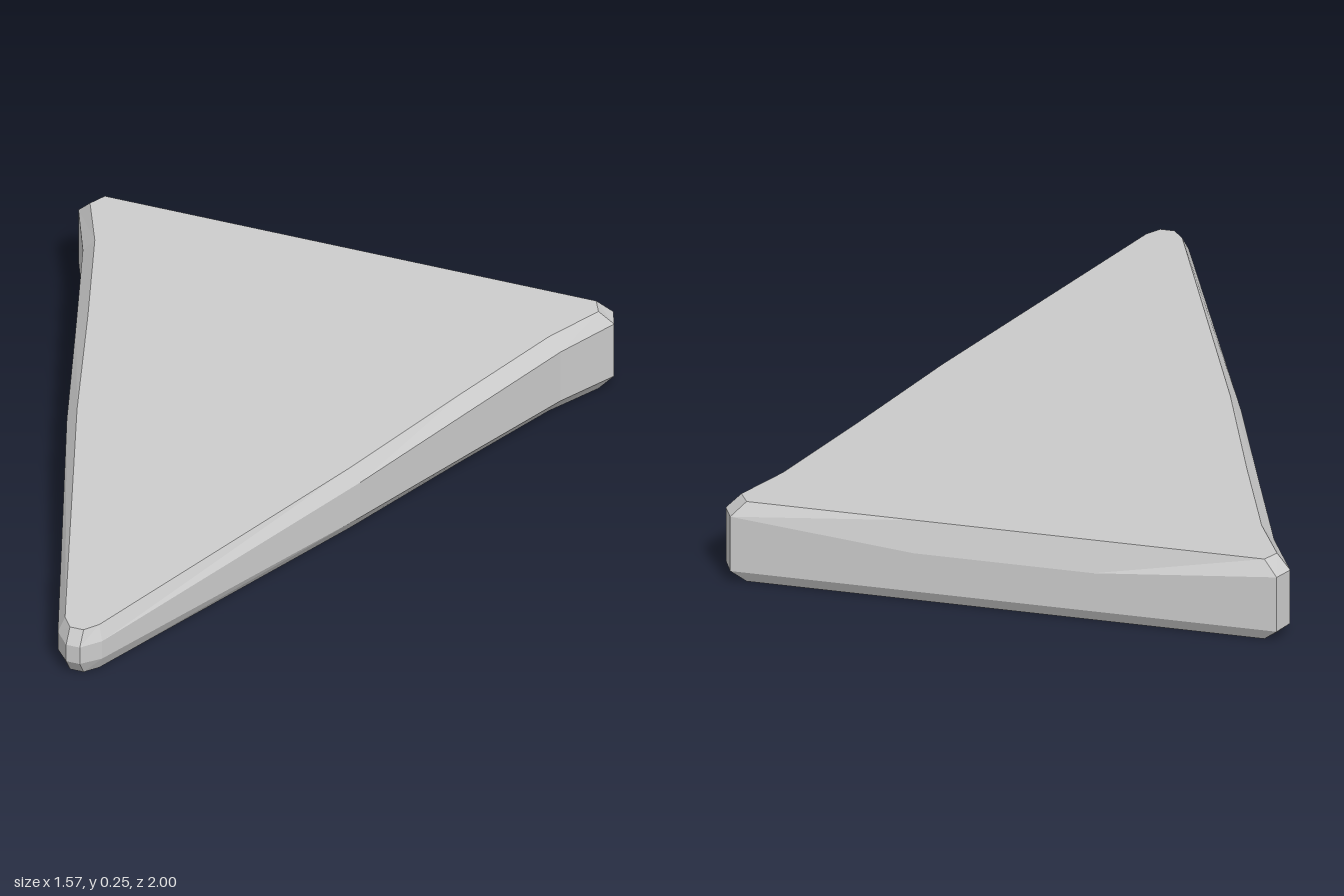
import * as THREE from 'three';

// Half outlines [x, z] from the front tip along the left side to the back
const OUTER = [[0.02, 1], [0.065, 0.95], [0.43, 0], [0.58, -0.43], [0.7, -0.77], [0.785, -0.945], [0.76, -1], [0.25, -1]];
const INNER = [[0.02, 0.973], [0.05, 0.935], [0.4, 0], [0.545, -0.43], [0.665, -0.77], [0.745, -0.93], [0.72, -0.975], [0.25, -0.975]];

// The top plane rises towards the back
const topY = (z) => 0.19 - 0.058 * z;

// Closed loop of points, mirrored across x = 0
function ring(half, height) {
  const right = half.map(([x, z]) => [-x, z]).reverse();
  return [...half, ...right].map(([x, z]) => new THREE.Vector3(x, height(x, z), z));
}

export function createModel() {
  // The upper rim dips along the middle of the back edge
  const rimY = (x, z) => topY(z) - 0.04 - (z === -1 && Math.abs(x) < 0.3 ? 0.05 : 0);
  const rings = [
    ring(INNER, () => 0),
    ring(OUTER, () => 0.04),
    ring(OUTER, rimY),
    ring(INNER, (x, z) => topY(z)),
  ];

  const positions = [];
  const tri = (...points) => points.forEach((p) => positions.push(p.x, p.y, p.z));
  const n = rings[0].length;
  const bottomCentre = new THREE.Vector3(0, 0, -0.3);
  const topCentre = new THREE.Vector3(0, topY(-0.3), -0.3);

  for (let i = 0; i < n; i++) {
    const j = (i + 1) % n;
    // Lower chamfer, wall and upper chamfer
    for (let k = 0; k < 3; k++) {
      const lower = rings[k], upper = rings[k + 1];
      tri(lower[i], lower[j], upper[j]);
      tri(lower[i], upper[j], upper[i]);
    }
    // Flat underside and sloping top
    tri(bottomCentre, rings[0][j], rings[0][i]);
    tri(topCentre, rings[3][i], rings[3][j]);
  }

  const geometry = new THREE.BufferGeometry();
  geometry.setAttribute('position', new THREE.Float32BufferAttribute(positions, 3));
  geometry.computeVertexNormals();

  const wedge = new THREE.Mesh(geometry, new THREE.MeshStandardMaterial({ color: 0xcccccc, flatShading: true }));
  wedge.name = 'chamferedWedge';

  const group = new THREE.Group();
  group.name = 'triangularWedge';
  group.add(wedge);
  return group;
}
